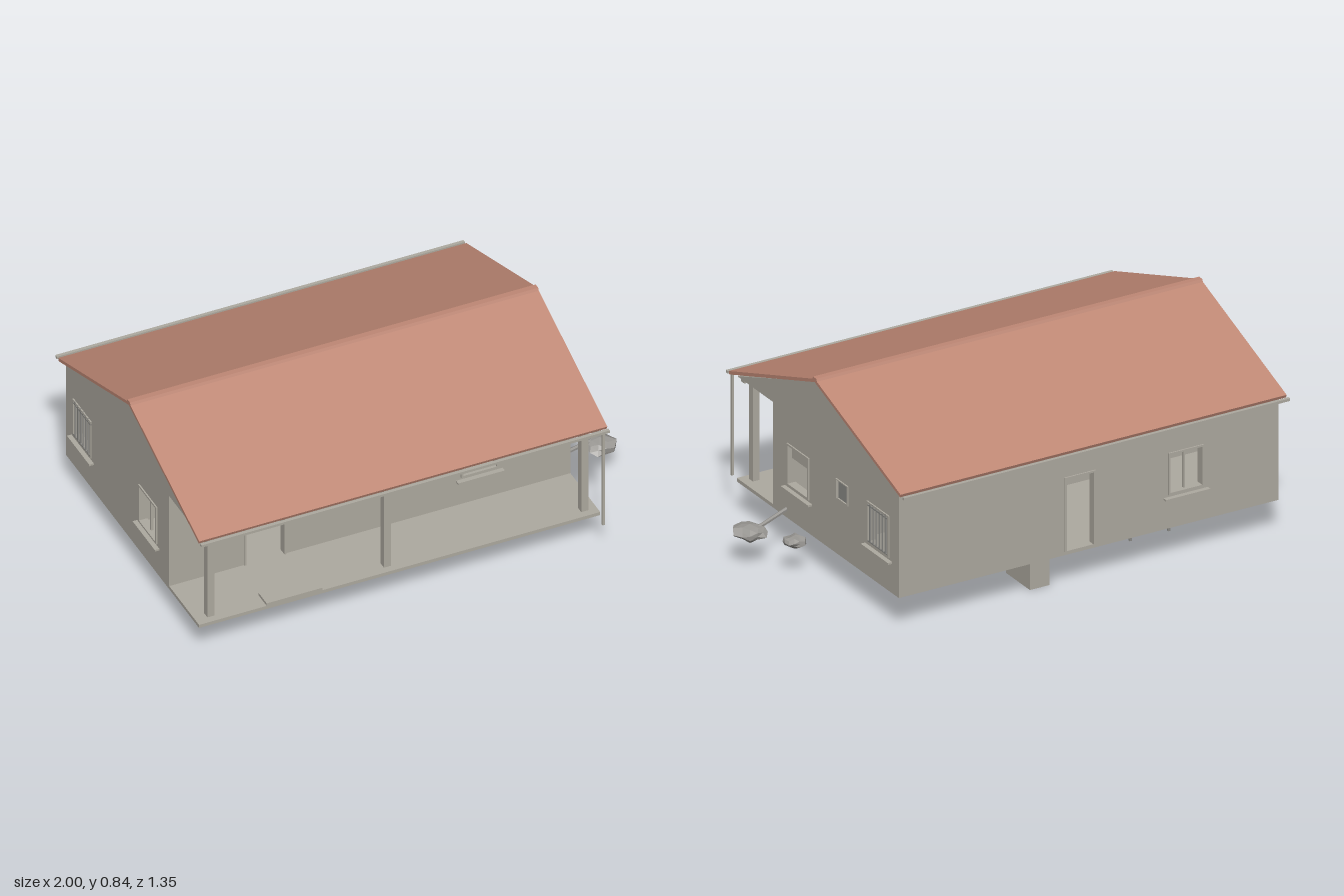
import * as THREE from 'three';

const mat = (name, color) => {
  const m = new THREE.MeshStandardMaterial({ color, side: THREE.DoubleSide });
  m.name = name;
  return m;
};

export function createModel() {
  const house = new THREE.Group();
  house.name = 'house';
  const plaster = mat('plaster', 0xaeaaa0);
  const tile = mat('roofTile', 0xbf8875);
  const wood = mat('yellowWood', 0xb8a060);
  const grey = mat('darkGrey', 0x8c8b87);
  const stone = mat('stone', 0x9a9894);
  stone.flatShading = true;

  const add = (parent, name, geo, m = plaster) => {
    const mesh = new THREE.Mesh(geo, m);
    mesh.name = name;
    parent.add(mesh);
    return mesh;
  };
  // Box given by its two extreme corners
  const box = (name, x0, x1, y0, y1, z0, z1, m = plaster, parent = house) =>
    add(parent, name, new THREE.BoxGeometry(x1 - x0, y1 - y0, z1 - z0), m)
      .position.set((x0 + x1) / 2, (y0 + y1) / 2, (z0 + z1) / 2);
  // Profile of [z, y] points extruded along x
  const profileX = (name, pts, x0, x1, m) => {
    const shape = new THREE.Shape(pts.map(([z, y]) => new THREE.Vector2(-z, y)));
    const geo = new THREE.ExtrudeGeometry(shape, { depth: x1 - x0, bevelEnabled: false });
    add(house, name, geo.rotateY(Math.PI / 2).translate(x0, 0, 0), m);
  };

  // Floor slab and porch
  box('floorSlab', -0.98, 0.74, 0.145, 0.16, -0.62, 0.605);
  box('porchStep', -0.69, -0.45, 0.16, 0.172, 0.53, 0.605);
  for (const x of [-0.915, -0.158, 0.688]) box('porchPost', x - 0.015, x + 0.015, 0.16, 0.6, 0.545, 0.575);
  box('porchBeam', -0.98, 0.74, 0.59, 0.605, 0.548, 0.572);

  // Walls: openings are [u0, u1, y0, y1, kind], with u along the wall as seen from outside
  const T = 0.03;
  const wall = (name, u0, u1, x, z, turn, openings) => {
    const g = new THREE.Group();
    g.name = name;
    g.position.set(x, 0, z);
    g.rotation.y = turn;
    house.add(g);
    const rect = (C, a, b, c, d) => new C([[a, c], [b, c], [b, d], [a, d]].map(p => new THREE.Vector2(...p)));
    const shape = rect(THREE.Shape, u0, u1, 0.145, 0.6);
    for (const [a, b, c, d] of openings) shape.holes.push(rect(THREE.Path, a, b, c, d));
    const geo = new THREE.ExtrudeGeometry(shape, { depth: T, bevelEnabled: false });
    add(g, 'wallPanel', geo.translate(0, 0, -T));
    for (const [a, b, c, d, kind] of openings) {
      const w = kind === 'vent' ? 0.004 : 0.008;
      // Frame
      box('frameSide', a, a + w, c, d, -T, 0.006, plaster, g);
      box('frameSide', b - w, b, c, d, -T, 0.006, plaster, g);
      box('frameTop', a, b, d - w, d, -T, 0.006, plaster, g);
      if (kind === 'vent') box('ventPane', a, b, c, d, -0.012, -0.006, grey, g);
      if (kind !== 'door' && kind !== 'vent') {
        box('windowSill', a - 0.02, b + 0.02, 0.272, 0.28, -0.005, 0.02, plaster, g);
        box('frameBottom', a, b, c, c + w, -T, 0.006, plaster, g);
      }
      if (kind === 'bars') {
        for (let i = 1; i < 7; i++) {
          const u = a + (b - a) * i / 7;
          box('windowBar', u - 0.003, u + 0.003, c, d, 0, 0.006, grey, g);
        }
        for (const y of [c + 0.01, d - 0.015]) box('windowRail', a, b, y - 0.003, y + 0.003, 0, 0.006, grey, g);
      }
      if (kind === 'mullion') box('mullion', (a + b) / 2 - 0.004, (a + b) / 2 + 0.004, c, d, -0.02, -0.01, plaster, g);
      if (kind === 'blind') box('blind', a, b, 0.405, d, -0.02, -0.014, plaster, g);
    }
  };
  wall('frontWall', -0.98, 0.74, 0, 0.33, 0,
    [[-0.66, -0.48, 0.16, 0.48, 'door'], [0.27, 0.43, 0.29, 0.47, 'plain']]);
  wall('backWall', -0.74, 0.98, 0, -0.62, Math.PI,
    [[0.01, 0.15, 0.16, 0.48, 'door'], [0.48, 0.64, 0.29, 0.47, 'mullion']]);
  wall('leftWall', -0.33, 0.62, 0.74, 0, Math.PI / 2,
    [[-0.22, -0.055, 0.29, 0.47, 'blind'], [0.15, 0.24, 0.385, 0.47, 'vent'], [0.385, 0.55, 0.29, 0.47, 'bars']]);
  wall('rightWall', -0.62, 0.33, -0.98, 0, -Math.PI / 2,
    [[-0.55, -0.385, 0.29, 0.47, 'bars'], [0.055, 0.22, 0.29, 0.47, 'mullion']]);

  // Rooms
  box('partition', -0.95, 0.71, 0.16, 0.6, -0.11, -0.09);
  box('crossPartition', 0.2, 0.22, 0.16, 0.6, -0.6, -0.1);
  box('ceiling', -0.97, 0.73, 0.59, 0.6, -0.61, 0.32);
  box('backDoorLeaf', -0.025, -0.015, 0.16, 0.47, -0.58, -0.45);
  box('cupboard', -0.55, -0.485, 0.28, 0.48, -0.085, -0.04, wood);
  box('cupboardBase', -0.57, -0.485, 0.16, 0.27, -0.085, 0.0);
  box('stool', -0.635, -0.595, 0.16, 0.22, 0.1, 0.14, grey);

  // Gables and pitched roof
  for (const x of [-0.98, 0.72])
    profileX('gable', [[0.6, 0.6], [-0.62, 0.6], [0, 0.825]], x, x + 0.02, plaster);
  for (const s of [1, -1])
    profileX('roofSlope', [[0, 0.838], [s * 0.65, 0.605], [s * 0.645, 0.592], [0, 0.824]], -1, 0.75, tile);
  profileX('ridgeCap', [[-0.017, 0.832], [-0.012, 0.843], [0.012, 0.843], [0.017, 0.832]], -1, 0.75, tile);

  // Gutters and downpipe
  for (const z of [-0.67, 0.665]) box('gutter', -1, 0.75, 0.59, 0.601, z - 0.007, z + 0.007);
  box('downpipe', 0.72, 0.73, 0.145, 0.595, 0.66, 0.67);

  // Fixtures reaching below the slab
  box('rearPit', 0.02, 0.11, 0, 0.146, -0.56, -0.38);
  box('frontPit', 0.02, 0.11, 0, 0.146, 0.05, 0.23);
  box('sunkenDoor', 0.04, 0.15, 0.01, 0.146, -0.2, -0.194);
  box('bench', -0.29, -0.22, 0.12, 0.146, 0, 0.17);
  box('table', -0.59, -0.47, 0.133, 0.146, -0.14, 0);
  box('woodenBed', -0.94, -0.85, 0.125, 0.146, 0.03, 0.27, wood);
  box('longCabinet', -0.94, -0.85, 0.09, 0.146, -0.45, -0.21);
  box('thinMat', 0.38, 0.68, 0.137, 0.146, -0.03, 0.17);
  for (const [z, y] of [[-0.16, 0.125], [-0.44, 0.115], [0.25, 0.115]])
    box('smallBlock', 0.62, 0.68, y, 0.146, z - 0.03, z + 0.03);
  for (const x of [-0.585, -0.41]) for (const z of [-0.45, -0.35])
    box('tableLeg', x - 0.005, x + 0.005, 0.04, 0.146, z - 0.005, z + 0.005, grey);
  for (const x of [-0.53, -0.49]) box('stoolLeg', x - 0.005, x + 0.005, 0.09, 0.146, -0.28, -0.27, grey);

  // Rocks beside the house, roughened by a repeatable rule
  const rock = (x, y, z, rx, ry, rz) => {
    const geo = new THREE.IcosahedronGeometry(1, 1);
    const p = geo.attributes.position;
    const v = new THREE.Vector3();
    for (let i = 0; i < p.count; i++) {
      v.fromBufferAttribute(p, i);
      const k = 0.85 + 0.18 * Math.sin(5 * v.x + 3 * v.y + x * 9) * Math.cos(4 * v.z - 2 * v.y);
      p.setXYZ(i, v.x * k * rx, v.y * k * ry, v.z * k * rz);
    }
    geo.computeVertexNormals();
    add(house, 'rock', geo, stone).position.set(x, y, z);
  };
  rock(0.825, 0.147, 0.025, 0.052, 0.028, 0.05);
  rock(0.93, 0.147, 0.19, 0.075, 0.035, 0.08);
  const path = new THREE.LineCurve3(new THREE.Vector3(0.73, 0.18, 0.235), new THREE.Vector3(0.92, 0.16, 0.17));
  add(house, 'branch', new THREE.TubeGeometry(path, 1, 0.009, 6), stone);

  return house;
}
